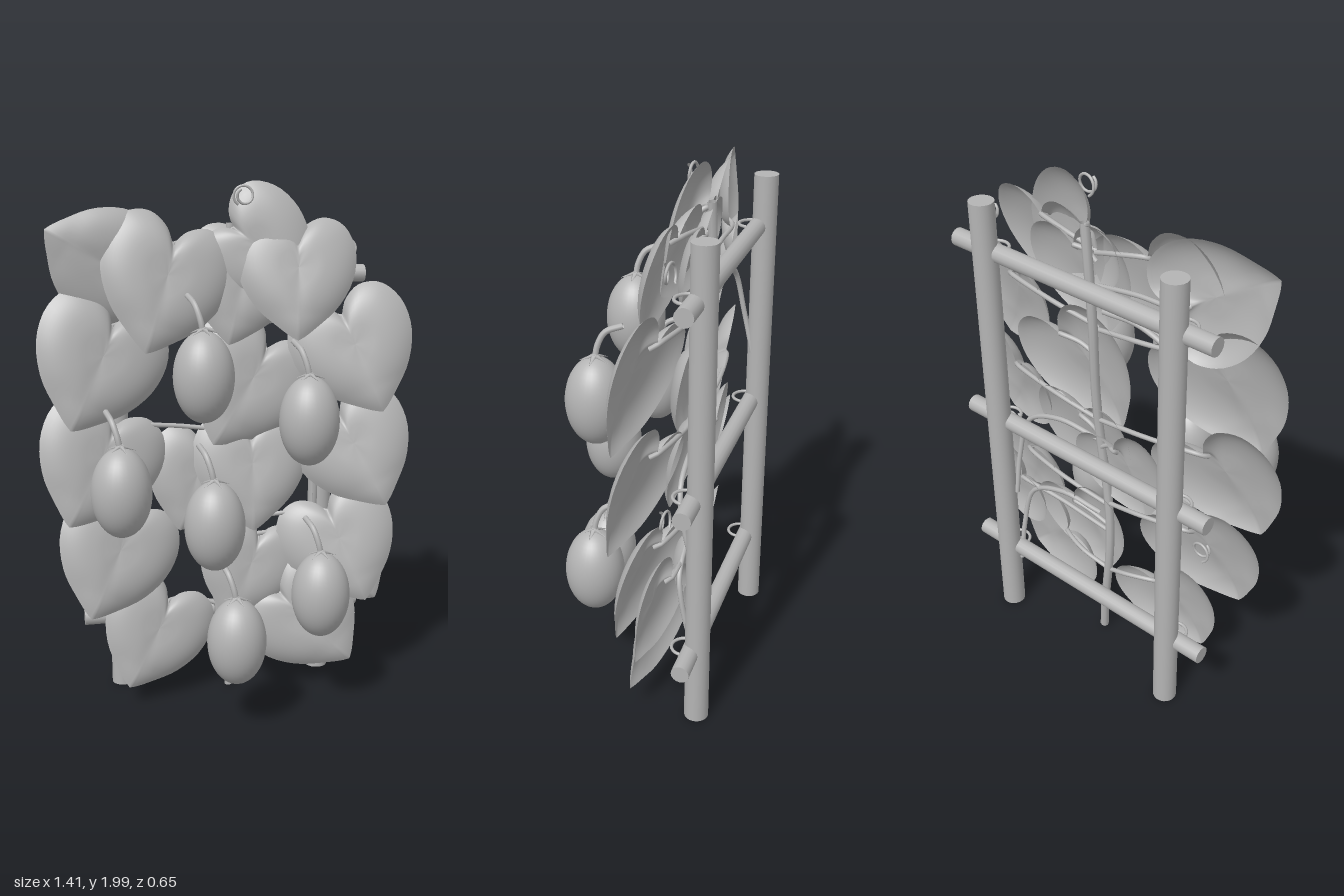
import * as THREE from 'three';

const V = (x, y, z) => new THREE.Vector3(x, y, z);
const grey = new THREE.MeshStandardMaterial({ color: 0xb4b4b4, side: THREE.DoubleSide });
grey.name = 'plain grey';

function add(parent, geometry, name, x = 0, y = 0, z = 0) {
  const mesh = new THREE.Mesh(geometry, grey);
  mesh.name = name;
  mesh.position.set(x, y, z);
  parent.add(mesh);
  return mesh;
}

function tube(parent, name, points, radius, segments = 24) {
  const curve = new THREE.CatmullRomCurve3(points);
  return add(parent, new THREE.TubeGeometry(curve, segments, radius, 8), name);
}

// Heart outline: notch at the origin, small nub of a tip at (0, -1)
function heartOutline() {
  const half = [[0, 0], [0.1, 0.14], [0.28, 0.22], [0.48, 0.15], [0.6, -0.08],
    [0.58, -0.38], [0.42, -0.67], [0.2, -0.87], [0.07, -0.97], [0, -1.01]].map(([x, y]) => V(x, y, 0));
  const pts = new THREE.CatmullRomCurve3(half).getPoints(32);
  const mirrored = pts.slice(1, -1).reverse().map(p => V(-p.x, p.y, 0));
  return [...pts, ...mirrored];
}

// Domed leaf blade: rings of the outline shrunk toward the centre, edges curled back
function leafGeometry() {
  const outline = heartOutline(), n = outline.length, rings = 10, cy = -0.3;
  const pos = [], index = [];
  for (let i = 0; i <= rings; i++) {
    const t = Math.sqrt(i / rings);
    for (const p of outline) {
      const x = p.x * t, y = cy + (p.y - cy) * t;
      const crease = 0.02 * Math.exp(-x * x * 120) * (1 - t);
      const flick = 0.12 * Math.max(0, -y - 0.75);
      pos.push(x, y, 0.13 * (1 - Math.pow(t, 4)) - crease + flick);
    }
  }
  for (let i = 0; i < rings; i++) {
    for (let j = 0; j < n; j++) {
      const a = i * n + j, b = i * n + (j + 1) % n;
      if (i > 0) index.push(a, b, a + n);
      index.push(b, b + n, a + n);
    }
  }
  // Outline runs clockwise seen from the front, so flip the faces
  for (let k = 0; k < index.length; k += 3) [index[k], index[k + 1]] = [index[k + 1], index[k]];
  index.reverse();
  const g = new THREE.BufferGeometry();
  g.setAttribute('position', new THREE.Float32BufferAttribute(pos, 3));
  g.setIndex(index);
  g.computeVertexNormals();
  return g;
}

// Notch x, y, z, then tip x, y, z
const leaves = [
  [-0.35, 1.65, -0.15, -0.65, 1.83, -0.10],
  [-0.19, 1.77, -0.13, -0.31, 1.39, -0.05],
  [-0.42, 1.48, -0.12, -0.59, 1.12, -0.03],
  [-0.43, 1.10, -0.12, -0.61, 0.76, -0.02],
  [-0.38, 0.73, -0.12, -0.54, 0.39, -0.02],
  [-0.23, 0.39, -0.12, -0.40, 0.08, -0.05],
  [0.04, 1.82, -0.16, 0.32, 1.60, -0.11],
  [0.09, 1.74, -0.17, 0.01, 1.40, -0.12],
  [0.27, 1.78, -0.13, 0.255, 1.42, -0.04],
  [0.45, 1.49, -0.12, 0.59, 1.14, -0.03],
  [0.45, 1.10, -0.12, 0.61, 0.77, -0.02],
  [0.41, 0.72, -0.12, 0.54, 0.38, -0.02],
  [0.42, 0.59, -0.16, 0.61, 0.35, -0.11],
  [0.22, 0.39, -0.12, 0.49, 0.12, -0.05],
  [0.17, 1.37, -0.17, -0.05, 1.02, -0.12],
  [0.10, 1.04, -0.15, 0.10, 0.68, -0.08],
  [-0.08, 0.98, -0.18, -0.18, 0.68, -0.14],
  [0.14, 0.62, -0.16, 0.01, 0.30, -0.12],
];

// Fruit centres
const fruits = [
  [-0.13, 1.33, 0.13], [0.25, 1.16, 0.15], [-0.43, 0.93, 0.145],
  [-0.11, 0.81, 0.22], [-0.03, 0.36, 0.22], [0.305, 0.49, 0.15],
];

const stemX = y => 0.015 * Math.cos(y * 6) - 0.02 * Math.sin(y * 3);

function addTrellis(model) {
  const trellis = new THREE.Group();
  trellis.name = 'trellis';
  const postXs = [-0.4, 0.415];
  for (const x of postXs)
    add(trellis, new THREE.CylinderGeometry(0.045, 0.045, 1.83, 20), 'post', x, 0.915, -0.28);
  for (const y of [0.3, 0.93, 1.64]) {
    add(trellis, new THREE.CylinderGeometry(0.033, 0.033, 1.12, 16), 'rail', 0.01, y, -0.26).rotation.z = Math.PI / 2;
    for (const x of postXs)
      add(trellis, new THREE.TorusGeometry(0.048, 0.006, 8, 24), 'tie', x, y, -0.232).rotation.x = Math.PI / 2;
  }
  model.add(trellis);
}

function addLeaves(model) {
  const blade = leafGeometry();
  for (const [x, y, z, tx, ty, tz] of leaves) {
    const notch = V(x, y, z - 0.02), up = notch.clone().sub(V(tx, ty, tz - 0.01));
    const size = up.length();
    up.normalize();
    const side = up.clone().cross(V(-0.25 * x, 0, 1)).normalize();
    const front = side.clone().cross(up);
    const leaf = add(model, blade, 'leaf', ...notch.toArray());
    leaf.quaternion.setFromRotationMatrix(new THREE.Matrix4().makeBasis(side, up, front));
    leaf.scale.setScalar(size);

    // Leaf stalk from the main stem to just inside the notch
    const sy = Math.max(0.2, Math.min(1.75, y - 0.04));
    const end = notch.clone().addScaledVector(up, -0.06 * size).addScaledVector(front, 0.05 * size);
    tube(model, 'leafStalk', [V(stemX(sy), sy, -0.17),
      V(x * 0.5, (sy + y) / 2 + 0.01, -0.175), notch, end], 0.009, 16);
  }
}

function addFruit(model, [x, y, z]) {
  const fruit = new THREE.Group();
  fruit.name = 'fruit';
  fruit.position.set(x, y, z);
  add(fruit, new THREE.SphereGeometry(0.109, 32, 24), 'fruitBody').scale.y = 1.5;
  tube(fruit, 'fruitStalk', [V(0, 0.15, 0), V(-0.01, 0.2, -0.005),
    V(-0.025, 0.25, -0.03), V(-0.04, 0.275, -0.09)], 0.011, 16);
  // Star-shaped calyx of narrow pointed sepals
  for (let i = 0; i < 5; i++) {
    const pivot = new THREE.Group();
    pivot.rotation.y = i * Math.PI * 2 / 5;
    const sepal = add(pivot, new THREE.ConeGeometry(0.013, 0.06, 6), 'sepal', 0.028, 0.162, 0);
    sepal.rotation.z = -Math.PI / 2 - 0.35;
    sepal.scale.x = 0.5;
    fruit.add(pivot);
  }
  model.add(fruit);
}

// Loose curling tendril
function addCurl(model, x, y, z) {
  const pts = [];
  for (let i = 0; i <= 20; i++) {
    const a = 4.2 - i * 0.42, r = 0.038 - i * 0.0006;
    pts.push(V(x + r * Math.cos(a), y + r * Math.sin(a), z + i * 0.0015));
  }
  tube(model, 'tendril', pts, 0.005, 48);
}

export function createModel() {
  const model = new THREE.Group();
  model.name = 'climbing plant on trellis';
  addTrellis(model);

  // Main stem, gently winding
  const stem = [];
  for (let i = 0; i <= 14; i++) {
    const y = 0.005 + i * 0.131;
    stem.push(V(stemX(y) + 0.04 * Math.max(0, y - 1.4), y, -0.155 - 0.02 * y - 0.01 * Math.sin(y * 5)));
  }
  tube(model, 'mainStem', stem, 0.017, 80);

  // Thin side shoots reaching back to the posts
  for (const [s, y] of [[-1, 1.5], [1, 0.95], [1, 0.6]])
    tube(model, 'sideShoot', [V(0.02 * s, y + 0.02, -0.17), V(0.2 * s, y + 0.03, -0.18),
      V(0.35 * s, y - 0.04, -0.19), V(0.38 * s, y - 0.2, -0.22), V(0.37 * s, y - 0.36, -0.26)], 0.01);

  addLeaves(model);
  fruits.forEach(f => addFruit(model, f));
  addCurl(model, 0.07, 1.94, -0.15);
  addCurl(model, 0.48, 1.74, -0.2);
  addCurl(model, -0.46, 0.7, -0.18);
  addCurl(model, 0.46, 0.85, -0.18);
  return model;
}
